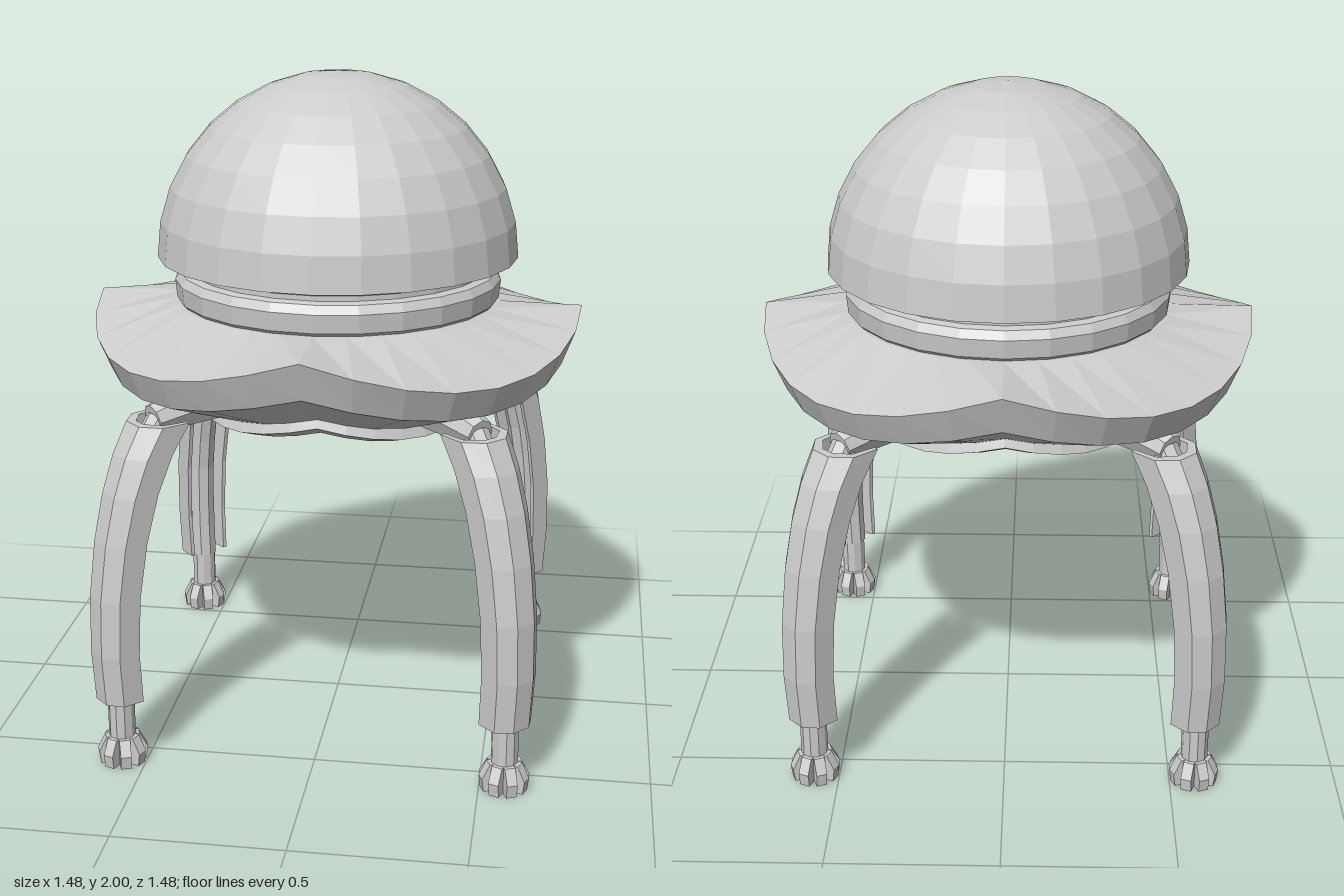
import * as THREE from 'three';

const material = new THREE.MeshStandardMaterial({ color: 0xcccccc, flatShading: true, side: THREE.DoubleSide });

function part(name, geometry, parent) {
  const mesh = new THREE.Mesh(geometry, material);
  mesh.name = name;
  parent.add(mesh);
  return mesh;
}

// Lathe of [radius, height, lift]; lift raises the profile to four crests on the x and z axes
function scallopedLathe(profile, segments) {
  const geo = new THREE.LatheGeometry(profile.map(([r, y]) => new THREE.Vector2(r, y)), segments);
  const pos = geo.attributes.position;
  for (let i = 0; i < pos.count; i++) {
    const angle = Math.floor(i / profile.length) / segments * Math.PI * 2;
    const lift = profile[i % profile.length][2] || 0;
    pos.setY(i, pos.getY(i) + lift * (1 - Math.abs(Math.sin(2 * angle))));
  }
  geo.computeVertexNormals();
  return geo;
}

// Curved leg cover: a U-shaped section carried along a (radius, height) path
function casingGeometry() {
  const outer = [[0.08, -0.045], [0.078, 0.02], [0.032, 0.056]];
  const inner = [[0.018, 0.038], [0.06, 0.01], [0.066, -0.045]];
  const mirrored = (points) => points.map(([x, z]) => [-x, z]).reverse();
  const outline = [...outer, ...mirrored(outer), ...mirrored(inner), ...inner];
  const shape = new THREE.Shape(outline.map(([x, z]) => new THREE.Vector2(x, -z)));
  const geo = new THREE.ExtrudeGeometry(shape, { depth: 1, steps: 6, bevelEnabled: false });
  geo.rotateX(-Math.PI / 2);
  const path = new THREE.SplineCurve([
    [0.82, 0.21], [0.83, 0.4], [0.815, 0.61], [0.775, 0.8], [0.725, 0.94], [0.66, 1.05],
  ].map(([r, y]) => new THREE.Vector2(r, y)));
  const pos = geo.attributes.position;
  for (let i = 0; i < pos.count; i++) {
    const t = THREE.MathUtils.clamp(pos.getY(i), 0, 1);
    const p = path.getPoint(t);
    pos.setXYZ(i, pos.getX(i) * (0.92 + 0.2 * t), p.y, p.x + pos.getZ(i) * (1 + 0.35 * t * t));
  }
  geo.computeVertexNormals();
  return geo;
}

// One leg reaching out along +z
function createLeg() {
  const leg = new THREE.Group();
  part('legCasing', casingGeometry(), leg);

  // Tapered arm from the hull
  const arm = part('legArm', new THREE.CylinderGeometry(0.045, 0.09, 0.25, 8), leg);
  arm.position.set(0, 1.075, 0.545);
  arm.rotation.x = Math.PI / 2 + 0.2;

  // Inner strut running down inside the casing
  const strut = new THREE.CatmullRomCurve3([
    [0.64, 1.05], [0.72, 0.92], [0.775, 0.76], [0.81, 0.55], [0.815, 0.35], [0.81, 0.2],
  ].map(([z, y]) => new THREE.Vector3(0, y, z)));
  part('legStrut', new THREE.TubeGeometry(strut, 8, 0.043, 8), leg);

  // Ankle and ring of toes
  const foot = new THREE.Group();
  foot.name = 'foot';
  foot.position.z = 0.81;
  leg.add(foot);
  part('ankle', new THREE.CylinderGeometry(0.04, 0.04, 0.2, 10), foot).position.y = 0.125;
  const toeShape = new THREE.Shape([
    [0.015, 0.02], [0.045, 0], [0.068, 0], [0.073, 0.04], [0.05, 0.085], [0.015, 0.085],
  ].map(([x, y]) => new THREE.Vector2(x, y)));
  const toe = new THREE.ExtrudeGeometry(toeShape, { depth: 0.032, bevelEnabled: false });
  toe.translate(0, 0, -0.016);
  for (let i = 0; i < 8; i++) part('toe', toe, foot).rotation.y = (i + 0.5) * Math.PI / 4;
  return leg;
}

export function createModel() {
  const model = new THREE.Group();
  model.name = 'domedWalker';

  // Dome and its closing disc
  const dome = part('dome', new THREE.SphereGeometry(0.545, 24, 8, 0, Math.PI * 2, 0, Math.PI / 2), model);
  dome.position.y = 1.455;
  const base = part('domeBase', new THREE.CircleGeometry(0.545, 24), model);
  base.rotation.x = Math.PI / 2;
  base.position.y = 1.455;

  // Grooved neck
  part('neck', scallopedLathe([
    [0.47, 1.31], [0.49, 1.33], [0.495, 1.385], [0.48, 1.41], [0.455, 1.415],
    [0.455, 1.43], [0.49, 1.455],
  ], 24), model);

  // Belly, underside and scalloped brim
  part('hull', scallopedLathe([
    [0, 0.92, 0], [0.36, 0.955, 0.04], [0.43, 0.98, 0.05], [0.42, 1.01, 0.045],
    [0.7, 1.115, 0.085], [0.74, 1.205, 0.11], [0.49, 1.32, 0], [0.42, 1.32, 0],
  ], 32), model);

  // Four legs on the diagonals
  ['frontLeft', 'backLeft', 'backRight', 'frontRight'].forEach((corner, i) => {
    const leg = createLeg();
    leg.name = corner + 'Leg';
    leg.rotation.y = Math.PI / 4 + i * Math.PI / 2;
    model.add(leg);
  });
  return model;
}
